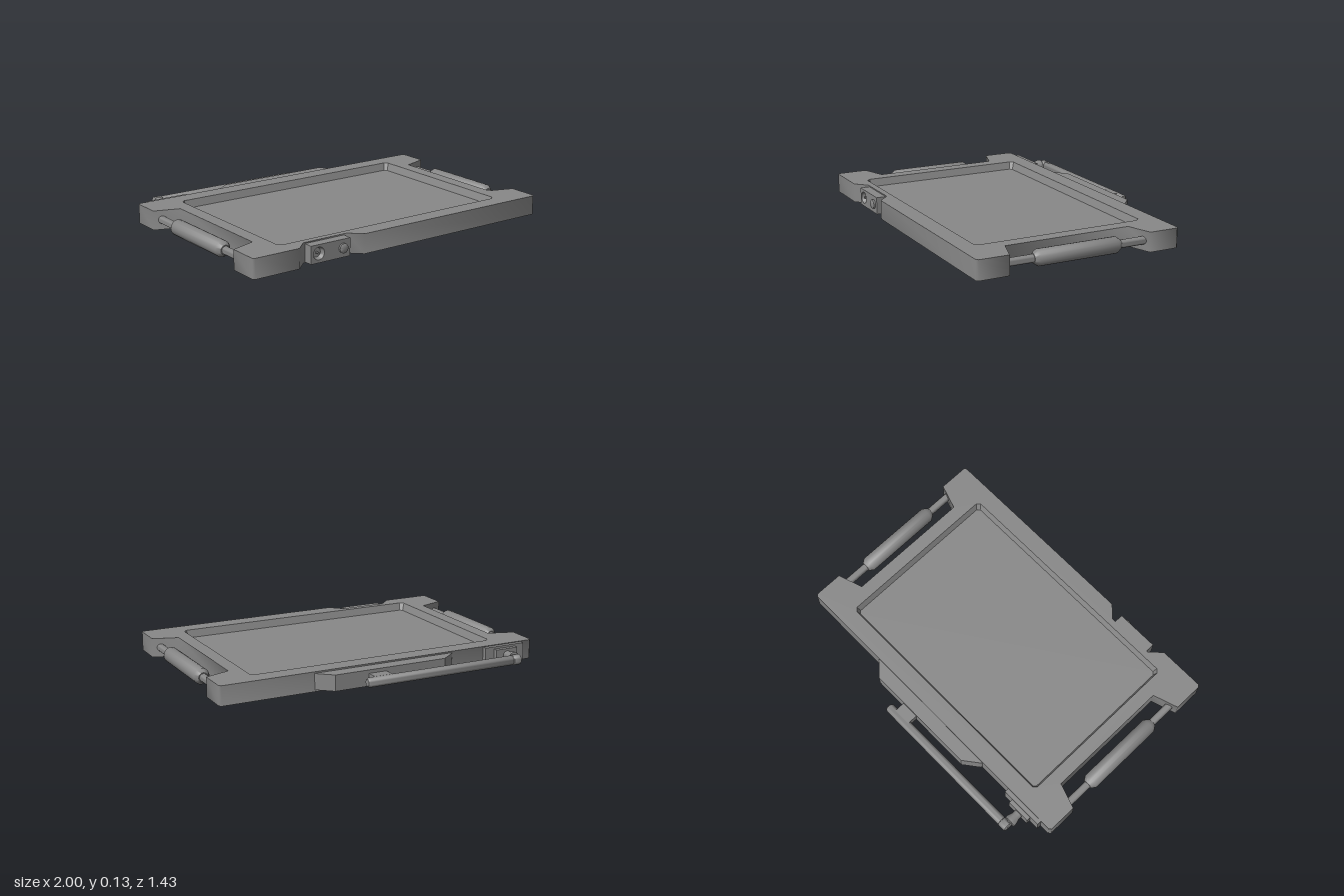
import * as THREE from 'three';
import { toCreasedNormals } from 'three/addons/utils/BufferGeometryUtils.js';

const material = new THREE.MeshStandardMaterial({ color: 0x888888 });
const AXIS_Y = 0.073; // shared height of handles, aerial and connectors

function add(parent, name, geometry, x = 0, y = 0, z = 0) {
  const mesh = new THREE.Mesh(geometry, material);
  mesh.name = name;
  mesh.position.set(x, y, z);
  parent.add(mesh);
  return mesh;
}

// Plan-view outline of [x, z] points raised from y0 to y1
function slab(points, y0, y1, hole) {
  const toVec = ([x, z]) => new THREE.Vector2(x, -z);
  const shape = new THREE.Shape(points.map(toVec));
  if (hole) shape.holes.push(new THREE.Path(hole.map(toVec)));
  const g = new THREE.ExtrudeGeometry(shape, { depth: y1 - y0, bevelEnabled: false });
  return g.rotateX(-Math.PI / 2).translate(0, y0, 0);
}

// Rectangle with clipped corners, as [x, z] points
function clippedRect(hx, z0, z1, c) {
  return [
    [-hx + c, z0], [hx - c, z0], [hx, z0 + c], [hx, z1 - c],
    [hx - c, z1], [-hx + c, z1], [-hx, z1 - c], [-hx, z0 + c],
  ];
}

// Skin over a series of [outline, height] rings with equal point counts
function skin(rings, crease) {
  const pos = [];
  for (let r = 0; r < rings.length - 1; r++) {
    const [lower, y0] = rings[r], [upper, y1] = rings[r + 1];
    lower.forEach(([ax, az], i) => {
      const j = (i + 1) % lower.length;
      const [bx, bz] = lower[j], [cx, cz] = upper[j], [dx, dz] = upper[i];
      pos.push(ax, y0, az, dx, y1, dz, cx, y1, cz);
      // a ring collapsed to a point needs only one triangle per side
      if (ax !== bx || az !== bz) pos.push(ax, y0, az, cx, y1, cz, bx, y0, bz);
    });
  }
  const g = new THREE.BufferGeometry();
  g.setAttribute('position', new THREE.Float32BufferAttribute(pos, 3));
  return toCreasedNormals(g, crease);
}

// Turned part from [radius, height] points along +y
function turned(points, segments = 20) {
  const g = new THREE.LatheGeometry(points.map(([r, h]) => new THREE.Vector2(r, h)), segments);
  return toCreasedNormals(g, 0.9);
}

export function createModel() {
  const model = new THREE.Group();
  model.name = 'ruggedTablet';

  // Casing: softly shaded notches for the handles and the connectors
  const c = 0.012;
  const outline = [
    [-1 + c, -0.535], [1 - c, -0.535], [1, -0.535 + c],
    [1, -0.35], [0.85, -0.3], [0.85, 0.465], [1, 0.515],
    [1, 0.705 - c], [1 - c, 0.705],
    [-0.28, 0.705], [-0.35, 0.638], [-0.64, 0.638], [-0.71, 0.705],
    [-1 + c, 0.705], [-1, 0.705 - c],
    [-1, 0.515], [-0.85, 0.465], [-0.85, -0.3], [-1, -0.35], [-1, -0.535 + c],
  ];
  const rim = clippedRect(0.77, -0.43, 0.6, 0.02);
  const screenEdge = clippedRect(0.755, -0.415, 0.585, 0.015);
  add(model, 'casing', toCreasedNormals(slab(outline, 0.015, 0.13, rim), 1.35));
  add(model, 'screenBezel', skin([[rim, 0.13], [screenEdge, 0.085]], 0.3));
  add(model, 'screen', slab(screenEdge, 0.075, 0.085));

  // Underside: shallow pan blending into the casing
  const plate = clippedRect(0.79, -0.41, 0.59, 0.03);
  add(model, 'underside', skin([
    [plate.map(() => [0, 0.09]), 0],
    [plate, 0],
    [clippedRect(0.835, -0.45, 0.625, 0.03), 0.0145],
    [clippedRect(0.848, -0.463, 0.636, 0.03), 0.0145],
  ], 0.6));

  // Carrying handles in the side notches
  for (const [side, name] of [[1, 'leftHandle'], [-1, 'rightHandle']]) {
    const handle = new THREE.Group();
    handle.name = name;
    handle.position.set(side * 0.951, AXIS_Y, 0);
    model.add(handle);
    add(handle, 'handleRod', turned([[0, -0.345], [0.023, -0.345], [0.023, 0.51], [0, 0.51]], 16)
      .rotateX(Math.PI / 2));
    add(handle, 'handleGrip', turned([
      [0.022, -0.182], [0.028, -0.182], [0.047, -0.155], [0.047, 0.325], [0.028, 0.353], [0.022, 0.353],
    ]).rotateX(Math.PI / 2));
  }

  // Connector block on the front edge
  const connectors = new THREE.Group();
  connectors.name = 'connectorBlock';
  model.add(connectors);
  const block = new THREE.Shape([
    [-0.63, 0.02], [-0.37, 0.02], [-0.37, 0.123], [-0.63, 0.123],
  ].map(([x, y]) => new THREE.Vector2(x, y)));
  block.holes.push(new THREE.Path().absarc(-0.578, AXIS_Y, 0.036, 0, Math.PI * 2, true));
  add(connectors, 'connectorHousing',
    new THREE.ExtrudeGeometry(block, { depth: 0.062, bevelEnabled: false, curveSegments: 12 }), 0, 0, 0.633);
  add(connectors, 'socket', turned([[0.036, 0.025], [0.027, 0], [0.006, 0], [0.006, 0.02], [0, 0.02]])
    .rotateX(Math.PI / 2), -0.578, AXIS_Y, 0.67);
  add(connectors, 'plug', turned([[0.028, 0], [0.028, 0.014], [0.021, 0.019], [0, 0.019]])
    .rotateX(Math.PI / 2), -0.418, AXIS_Y, 0.692);

  // Raised housing on the back edge, with the clip that holds the aerial
  add(model, 'rearHousing', slab(
    [[-0.45, -0.53], [-0.44, -0.545], [-0.35, -0.615], [0.35, -0.615], [0.43, -0.545], [0.44, -0.53]], 0.027, 0.121));
  add(model, 'aerialClip', new THREE.BoxGeometry(0.11, 0.055, 0.07), 0.085, AXIS_Y, -0.645);

  // Aerial: stepped mount, post, hinge and folded rod
  const aerial = new THREE.Group();
  aerial.name = 'aerial';
  aerial.position.y = AXIS_Y;
  model.add(aerial);
  add(aerial, 'mountPlate', new THREE.BoxGeometry(0.265, 0.106, 0.03), -0.793, 0, -0.547);
  add(aerial, 'mountStep', new THREE.BoxGeometry(0.145, 0.08, 0.03), -0.793, 0, -0.572);
  add(aerial, 'post', turned([
    [0.027, 0], [0.027, 0.025], [0.036, 0.055], [0.036, 0.072], [0.022, 0.075], [0.022, 0.1], [0, 0.1],
  ]).rotateX(-Math.PI / 2), -0.796, 0, -0.585);
  add(aerial, 'hinge', turned([[0, 0], [0.022, 0], [0.03, 0.006], [0.03, 0.052], [0.025, 0.056], [0, 0.056]])
    .rotateZ(-Math.PI / 2), -0.815, 0, -0.686);
  add(aerial, 'rod', turned([
    [0, 0], [0.022, 0], [0.022, 0.01], [0.028, 0.018], [0.028, 0.955], [0.02, 0.965], [0, 0.965],
  ]).rotateZ(-Math.PI / 2), -0.775, 0, -0.686);

  return model;
}
